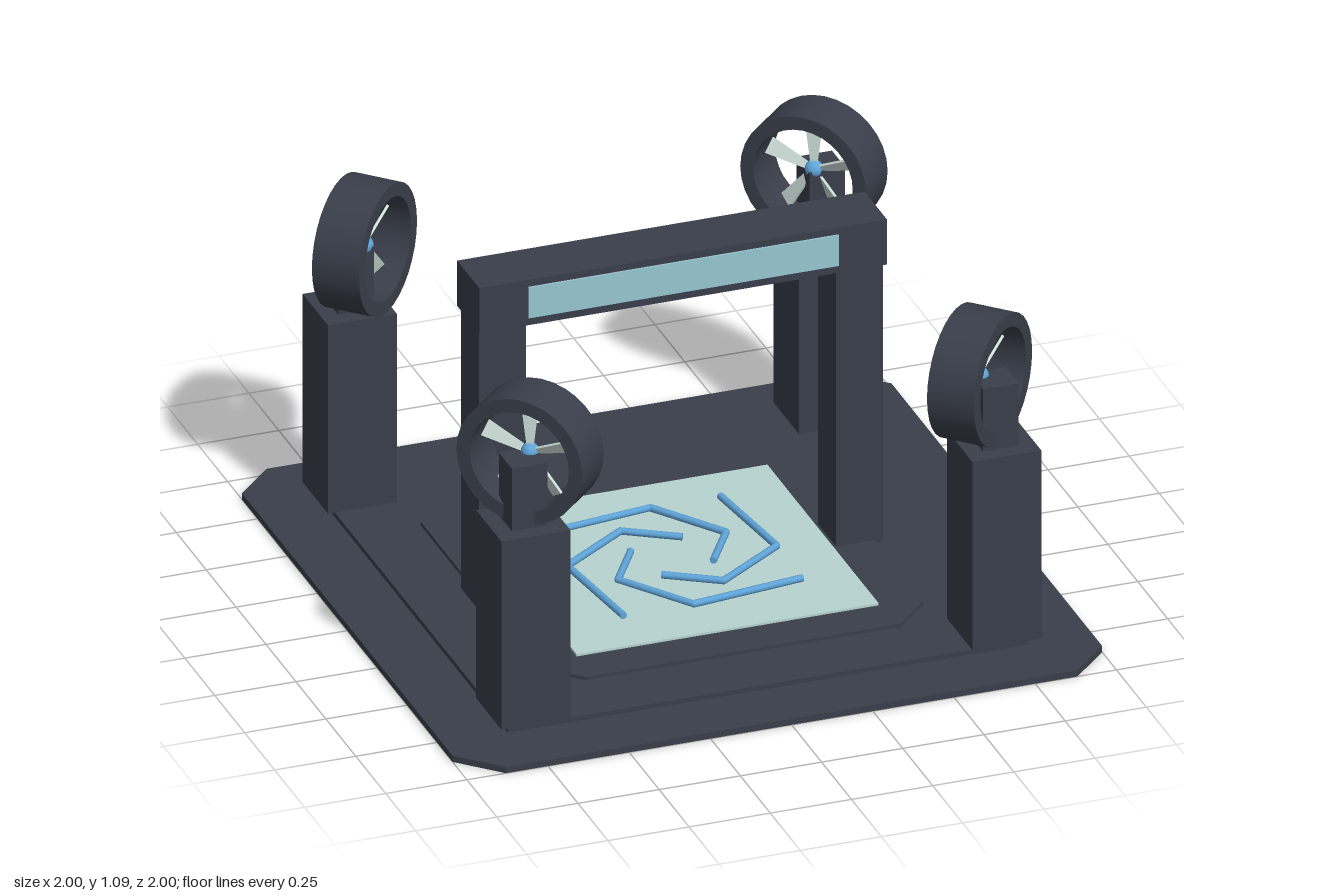
import * as THREE from 'three';
import { toCreasedNormals } from 'three/addons/utils/BufferGeometryUtils.js';

export function createModel() {
  const mat = (name, color) => new THREE.MeshStandardMaterial({ name, color });
  const dark = mat('darkMetal', 0x393e4a);
  const pale = mat('paleTeal', 0xb7d3d1);
  const banner = mat('bannerTeal', 0x97c6d0);
  const blue = mat('blue', 0x5fa5d9);
  const bladeMat = mat('bladePale', 0xc9dad4);
  bladeMat.side = THREE.DoubleSide;

  const model = new THREE.Group();
  model.name = 'fanArena';

  const add = (parent, name, geometry, material, x = 0, y = 0, z = 0) => {
    const mesh = new THREE.Mesh(geometry, material);
    mesh.name = name;
    mesh.position.set(x, y, z);
    parent.add(mesh);
    return mesh;
  };
  // Box given by its centre in x and z and its lower and upper height
  const box = (parent, name, material, w, d, y0, y1, x = 0, z = 0) =>
    add(parent, name, new THREE.BoxGeometry(w, y1 - y0, d), material, x, (y0 + y1) / 2, z);

  // Square slab with cut corners
  const slab = (name, half, cut, y0, y1) => {
    const e = half - cut;
    const shape = new THREE.Shape([
      [half, -e], [half, e], [e, half], [-e, half], [-half, e], [-half, -e], [-e, -half], [e, -half],
    ].map(([x, y]) => new THREE.Vector2(x, y)));
    const g = new THREE.ExtrudeGeometry(shape, { depth: y1 - y0, bevelEnabled: false });
    g.rotateX(-Math.PI / 2);
    add(model, name, g, dark, 0, y0, 0);
  };

  // Stepped floor
  slab('basePlate', 1, 0.12, 0, 0.02);
  box(model, 'middleStep', dark, 1.6, 1.6, 0.02, 0.035);
  slab('innerStep', 0.595, 0.11, 0.035, 0.046);
  box(model, 'floorPad', pale, 0.93, 0.93, 0.046, 0.053);

  // Four angular spiral arms lying on the pad
  const up = new THREE.Vector3(0, 1, 0);
  for (let arm = 0; arm < 4; arm++) {
    const spiral = new THREE.Group();
    spiral.name = 'spiralArm';
    spiral.position.y = 0.065;
    model.add(spiral);
    const points = [0, 1, 2, 3].map((i) => {
      const a = THREE.MathUtils.degToRad(-139.5 + arm * 90 + i * 58);
      const r = 0.402 - i * 0.093;
      return new THREE.Vector3(r * Math.cos(a), 0, r * Math.sin(a));
    });
    for (let i = 0; i < 3; i++) {
      const dir = points[i + 1].clone().sub(points[i]);
      const rod = add(spiral, 'spiralRod', new THREE.CylinderGeometry(0.011, 0.011, dir.length(), 8), blue);
      rod.position.copy(points[i]).addScaledVector(dir, 0.5);
      rod.quaternion.setFromUnitVectors(up, dir.normalize());
      if (i) add(spiral, 'spiralJoint', new THREE.SphereGeometry(0.011, 8, 6), blue).position.copy(points[i]);
    }
  }

  // Gate across the middle, with a banner on its front
  for (const s of [-1, 1]) box(model, 'gatePost', dark, 0.145, 0.15, 0.035, 0.95, s * 0.55);
  box(model, 'gateBeam', dark, 1.255, 0.186, 0.945, 1.092);
  box(model, 'gateBanner', banner, 0.955, 0.008, 0.97, 1.07, 0, 0.095);

  // Fan parts, with the axis along z
  const ringProfile = [[0.158, 0.075], [0.158, -0.075], [0.2, -0.075], [0.2, 0.075], [0.158, 0.075]];
  const ringGeo = toCreasedNormals(
    new THREE.LatheGeometry(ringProfile.map(([x, y]) => new THREE.Vector2(x, y)), 32), 0.6);
  ringGeo.rotateX(Math.PI / 2);
  const bladeShape = new THREE.Shape([
    new THREE.Vector2(-0.01, 0.015), new THREE.Vector2(0.01, 0.015),
    new THREE.Vector2(0.026, 0.15), new THREE.Vector2(-0.026, 0.15),
  ]);
  const bladeGeo = new THREE.ExtrudeGeometry(bladeShape, { depth: 0.008, bevelEnabled: false });
  bladeGeo.translate(0, 0, -0.004);
  bladeGeo.rotateY(0.5);
  const hubGeo = new THREE.SphereGeometry(0.027, 16, 12);

  // Corner towers, each carrying a fan that faces the centre
  for (const sx of [-1, 1]) for (const sz of [-1, 1]) {
    box(model, 'tower', dark, 0.212, 0.212, 0.05, 0.662, sx * 0.725, sz * 0.725);
    box(model, 'fanMount', dark, 0.11, 0.11, 0.662, 0.865, sx * 0.725, sz * 0.725);
    const fan = new THREE.Group();
    fan.name = 'fan';
    fan.position.set(sx * 0.692, 0.865, sz * 0.692);
    fan.rotation.y = Math.atan2(-sx, -sz);
    model.add(fan);
    add(fan, 'fanRing', ringGeo, dark);
    add(fan, 'fanHub', hubGeo, blue);
    for (let i = 0; i < 5; i++) {
      add(fan, 'fanBlade', bladeGeo, bladeMat).rotation.z = (i * Math.PI * 2) / 5;
    }
  }
  return model;
}
